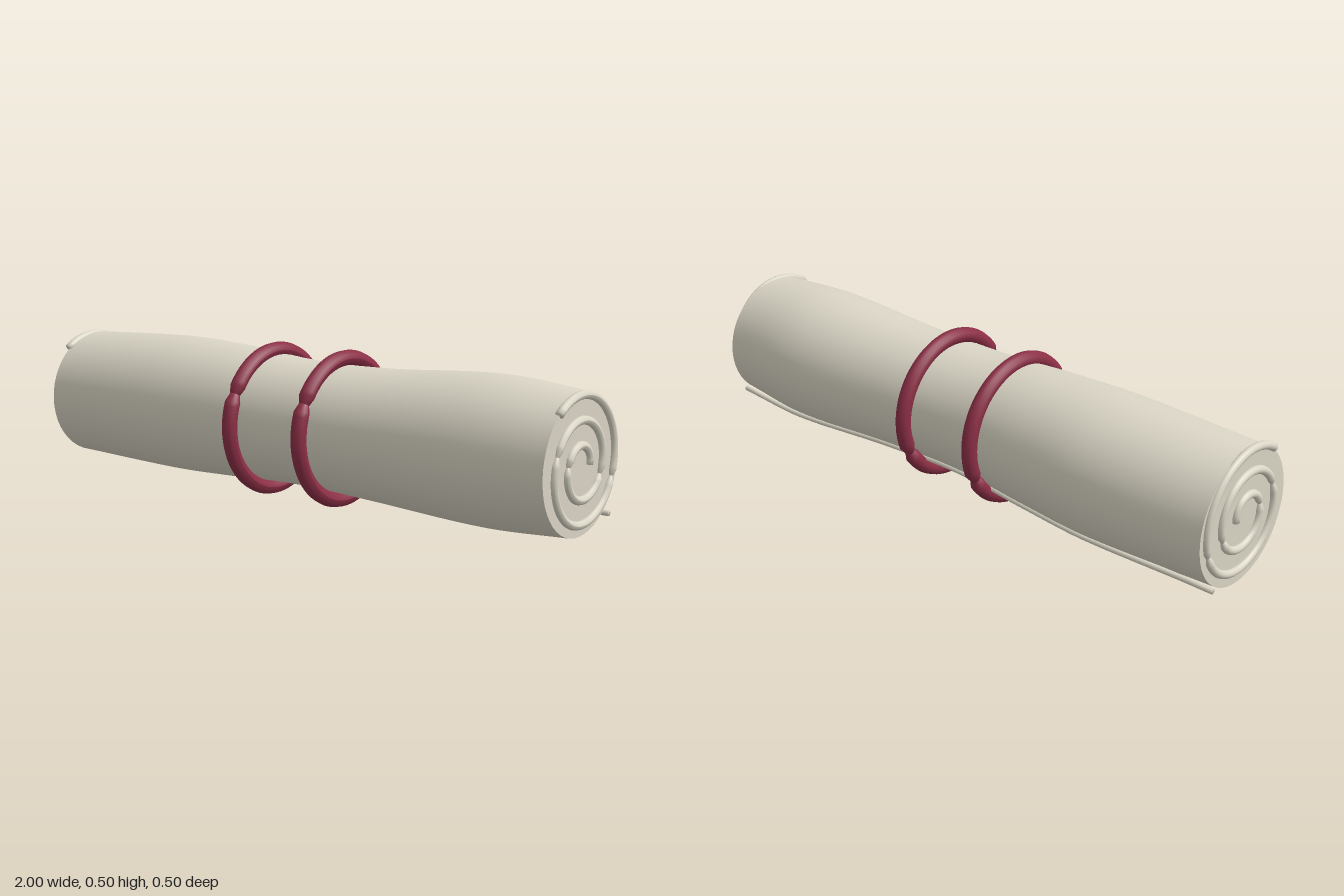
import * as THREE from 'three';

const LENGTH = 0.985;

// Stations along the roll: x, top y, bottom y, back z, front z
const STATIONS = [
  [-0.985, 0.465, 0.035, -0.217, 0.212],
  [-0.55, 0.485, 0.027, -0.239, 0.216],
  [-0.3, 0.478, 0.037, -0.224, 0.212],
  [0, 0.458, 0.054, -0.201, 0.209],
  [0.3, 0.461, 0.046, -0.209, 0.212],
  [0.7, 0.485, 0.028, -0.237, 0.216],
  [0.985, 0.466, 0.046, -0.217, 0.21],
];

// Smooth interpolation of the stations
function section(x) {
  let i = 0;
  while (i < STATIONS.length - 2 && x > STATIONS[i + 1][0]) i++;
  const at = (k) => STATIONS[Math.min(Math.max(k, 0), STATIONS.length - 1)];
  const [a, b, c, d] = [at(i - 1), at(i), at(i + 1), at(i + 2)];
  const t = (x - b[0]) / (c[0] - b[0]);
  return [1, 2, 3, 4].map((k) => {
    const m0 = ((c[k] - a[k]) / (c[0] - a[0])) * (c[0] - b[0]);
    const m1 = ((d[k] - b[k]) / (d[0] - b[0])) * (c[0] - b[0]);
    const t2 = t * t, t3 = t2 * t;
    return (2 * t3 - 3 * t2 + 1) * b[k] + (t3 - 2 * t2 + t) * m0 + (3 * t2 - 2 * t3) * c[k] + (t3 - t2) * m1;
  });
}

// Point on the roll's surface; angle 0 is the back, 90 degrees is the top
function surfacePoint(x, angle) {
  const [top, bottom, back, front] = section(x);
  return new THREE.Vector3(
    x,
    (top + bottom) / 2 + ((top - bottom) / 2) * Math.sin(angle),
    (front + back) / 2 - ((front - back) / 2) * Math.cos(angle),
  );
}

function rollGeometry() {
  const nx = 56, na = 48, pos = [], idx = [];
  for (let i = 0; i <= nx; i++) {
    for (let j = 0; j < na; j++) {
      const p = surfacePoint(-LENGTH + (2 * LENGTH * i) / nx, (j / na) * Math.PI * 2);
      pos.push(p.x, p.y, p.z);
      if (i === nx) continue;
      const a = i * na + j, b = i * na + ((j + 1) % na);
      idx.push(a, b, a + na, b, b + na, a + na);
    }
  }
  const g = new THREE.BufferGeometry();
  g.setAttribute('position', new THREE.Float32BufferAttribute(pos, 3));
  g.setIndex(idx);
  g.computeVertexNormals();
  return g;
}

// Flat end face
function capGeometry(side) {
  const shape = new THREE.Shape();
  for (let j = 0; j < 48; j++) {
    const p = surfacePoint(side * LENGTH, (j / 48) * Math.PI * 2);
    if (j === 0) shape.moveTo(-side * p.z, p.y);
    else shape.lineTo(-side * p.z, p.y);
  }
  const g = new THREE.ShapeGeometry(shape);
  g.rotateY((side * Math.PI) / 2);
  g.translate(side * LENGTH, 0, 0);
  return g;
}

class PathCurve extends THREE.Curve {
  constructor(fn) { super(); this.fn = fn; }
  getPoint(t, target = new THREE.Vector3()) { return target.copy(this.fn(t)); }
}

// Closed tube whose ends can be narrowed
function cord(fn, steps, radius, startScale = 1, endScale = 1) {
  const sides = 12;
  const g = new THREE.TubeGeometry(new PathCurve(fn), steps, radius, sides, false);
  const pos = g.attributes.position, path = g.parameters.path;
  const squeeze = (ring, centreRing, scale) => {
    const c = path.getPointAt(centreRing / steps), own = path.getPointAt(ring / steps);
    for (let j = 0; j <= sides; j++) {
      const k = ring * (sides + 1) + j;
      const v = new THREE.Vector3().fromBufferAttribute(pos, k).sub(own).multiplyScalar(scale).add(c);
      pos.setXYZ(k, v.x, v.y, v.z);
    }
  };
  squeeze(0, 0, 0.001);
  squeeze(steps, steps, 0.001);
  squeeze(1, 0, startScale);
  squeeze(steps - 1, steps, endScale);
  g.computeVertexNormals();
  return g;
}

export function createModel() {
  const group = new THREE.Group();
  const cloth = new THREE.MeshStandardMaterial({ color: 0xdad5c5 });
  cloth.name = 'cream cloth';
  const red = new THREE.MeshStandardMaterial({ color: 0x8c2f46 });
  red.name = 'burgundy cord';
  const add = (name, geometry, material) => {
    const mesh = new THREE.Mesh(geometry, material);
    mesh.name = name;
    group.add(mesh);
  };
  const rad = THREE.MathUtils.degToRad;

  add('roll', rollGeometry(), cloth);

  // Spiral edge on both ends, in five lengths
  const joints = [0, 172, 340, 520, 702, 848];
  for (const side of [-1, 1]) {
    const end = side < 0 ? 'right' : 'left';
    add(end + 'EndFace', capGeometry(side), cloth);
    for (let i = 0; i < joints.length - 1; i++) {
      const spiral = (t) => {
        const deg = THREE.MathUtils.lerp(joints[i], joints[i + 1], t);
        const r = 0.044 + (0.0725 * deg) / 360;
        return new THREE.Vector3(side * 0.987, 0.252 + r * Math.sin(rad(deg)), -r * Math.cos(rad(deg)));
      };
      add(end + 'SpiralFold' + (i + 1), cord(spiral, 24 + i * 8, 0.013, i ? 0.5 : 1, i < 4 ? 0.5 : 1), cloth);
    }
  }

  // Lengthwise hem low on the back, standing off a little at the ends
  const hem = (t) => {
    const p = surfacePoint(THREE.MathUtils.lerp(-LENGTH, LENGTH, t), rad(311));
    const lift = 0.002 + 0.008 * (2 * t - 1) ** 4;
    p.x *= 0.998 / LENGTH;
    return p.add(new THREE.Vector3(0, -lift, -lift));
  };
  add('hem', cord(hem, 48, 0.009), cloth);

  // Two tie rings, each of two half loops pinched where they meet
  for (const x of [-0.142, 0.14]) {
    for (const half of [0, 1]) {
      const loop = (t) => {
        const a = rad(-29 + half * 180 + 182 * t);
        return new THREE.Vector3(x, 0.253 + 0.226 * Math.sin(a), -0.226 * Math.cos(a));
      };
      add((x < 0 ? 'right' : 'left') + 'Tie' + (half ? 'Lower' : 'Upper'), cord(loop, 48, 0.025, 0.6, 0.6), red);
    }
  }
  return group;
}
